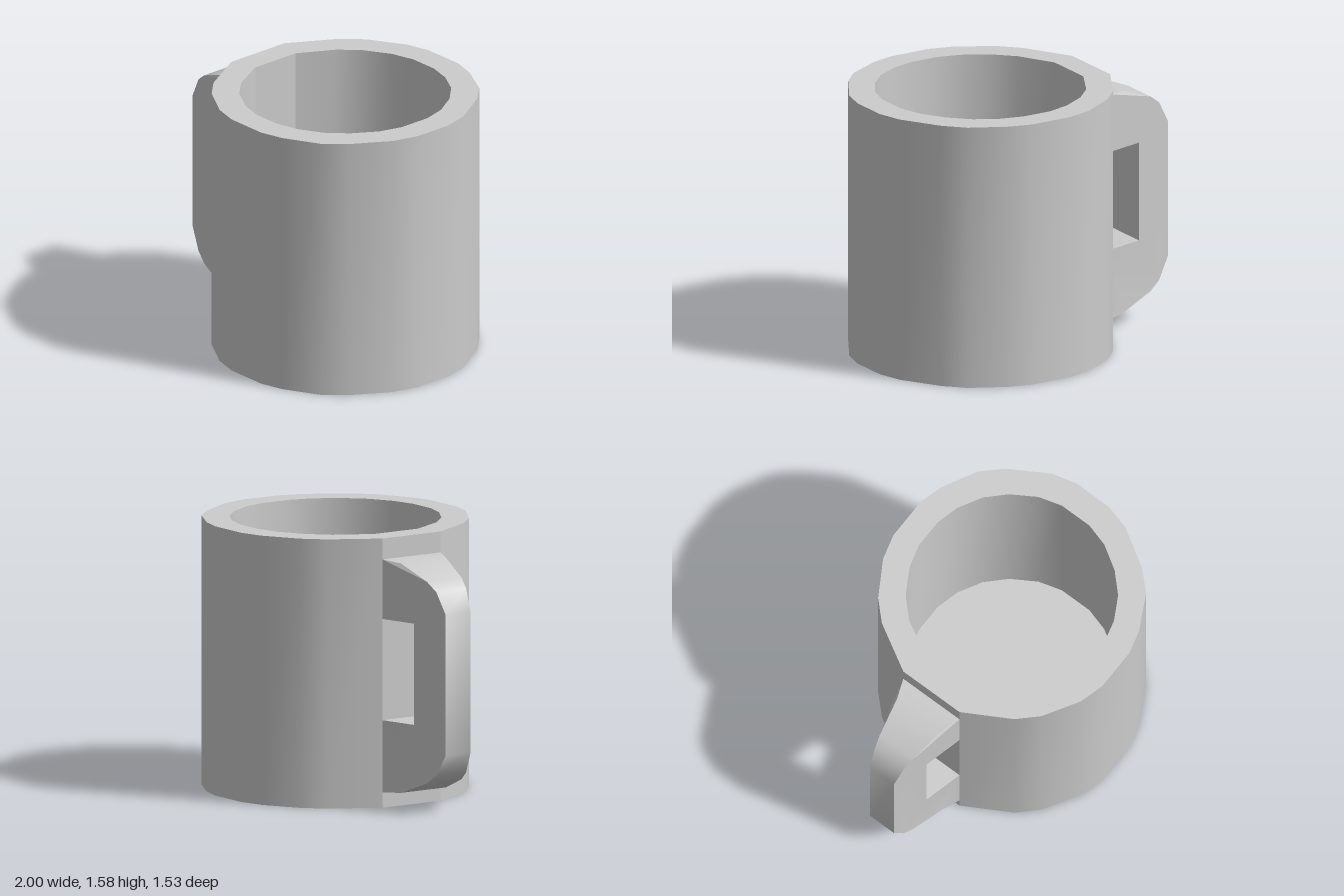
import * as THREE from 'three';
import { toCreasedNormals } from 'three/addons/utils/BufferGeometryUtils.js';

const HEIGHT = 1.583, FLOOR = 0.15;

// Half outlines seen from above as [x, |z|], from the far side round to the flat by the handle
const OUTER = [[1, 0.12], [0.96, 0.27], [0.82, 0.5], [0.71, 0.615], [0.5, 0.725], [0.36, 0.763],
  [0.1, 0.763], [-0.05, 0.722], [-0.26, 0.597], [-0.37, 0.485], [-0.53, 0.205]];
const INNER = [[0.84, 0.1], [0.8, 0.24], [0.71, 0.385], [0.6, 0.495], [0.46, 0.572], [0.32, 0.608],
  [0.14, 0.608], [0, 0.568], [-0.15, 0.48], [-0.26, 0.37], [-0.377, 0.155]];

// Mirror a half outline into a closed ring at height y
function ring(half, y) {
  return [
    ...half.map(([x, z]) => [x, y, -z]),
    ...[...half].reverse().map(([x, z]) => [x, y, z]),
  ];
}

// Skin a series of rings and cap both ends
function loft(rings) {
  const n = rings[0].length, index = [];
  for (let r = 0; r < rings.length - 1; r++) {
    for (let i = 0; i < n; i++) {
      const a = r * n + i, b = r * n + (i + 1) % n;
      index.push(a, b, b + n, a, b + n, a + n);
    }
  }
  const last = (rings.length - 1) * n;
  for (let i = 1; i < n - 1; i++) {
    index.push(0, i + 1, i, last, last + i, last + i + 1);
  }
  const geometry = new THREE.BufferGeometry();
  geometry.setAttribute('position', new THREE.Float32BufferAttribute(rings.flat(2), 3));
  geometry.setIndex(index);
  return geometry;
}

// C-shaped side profile extruded in z, then tapered away from the cup
function handleGeometry() {
  const mid = 0.775;
  const upper = [[-0.53, 0.685], [-0.65, 0.675], [-0.86, 0.593], [-0.93, 0.54], [-1, 0.413]];
  const points = [
    ...upper.map(([x, h]) => [x, mid + h]),
    ...[...upper].reverse().map(([x, h]) => [x, mid - h]),
    [-0.53, 0.515], [-0.765, 0.515], [-0.765, 1.11], [-0.53, 1.11],
  ].map(([x, y]) => new THREE.Vector2(x, y));
  const geometry = new THREE.ExtrudeGeometry(new THREE.Shape(points), { depth: 2, bevelEnabled: false });
  geometry.translate(0, 0, -1);
  const p = geometry.attributes.position;
  for (let i = 0; i < p.count; i++) {
    const x = p.getX(i);
    const pinch = Math.abs(x + 0.65) < 0.01 ? 0.015 : 0;
    const halfWidth = THREE.MathUtils.mapLinear(x, -1, -0.53, 0.088, 0.205) - pinch;
    p.setZ(i, p.getZ(i) * halfWidth);
  }
  return geometry;
}

export function createModel() {
  const group = new THREE.Group();
  group.name = 'mug';
  const material = new THREE.MeshStandardMaterial({ color: 0xcccccc });
  const add = (name, geometry, crease) => {
    const mesh = new THREE.Mesh(toCreasedNormals(geometry, crease), material);
    mesh.name = name;
    group.add(mesh);
  };

  // Hollow cup: outer wall, rim, inner wall and floor
  add('cup', loft([ring(OUTER, 0), ring(OUTER, HEIGHT), ring(INNER, HEIGHT), ring(INNER, FLOOR)]), 0.48);
  add('handle', handleGeometry(), 0.55);
  return group;
}
